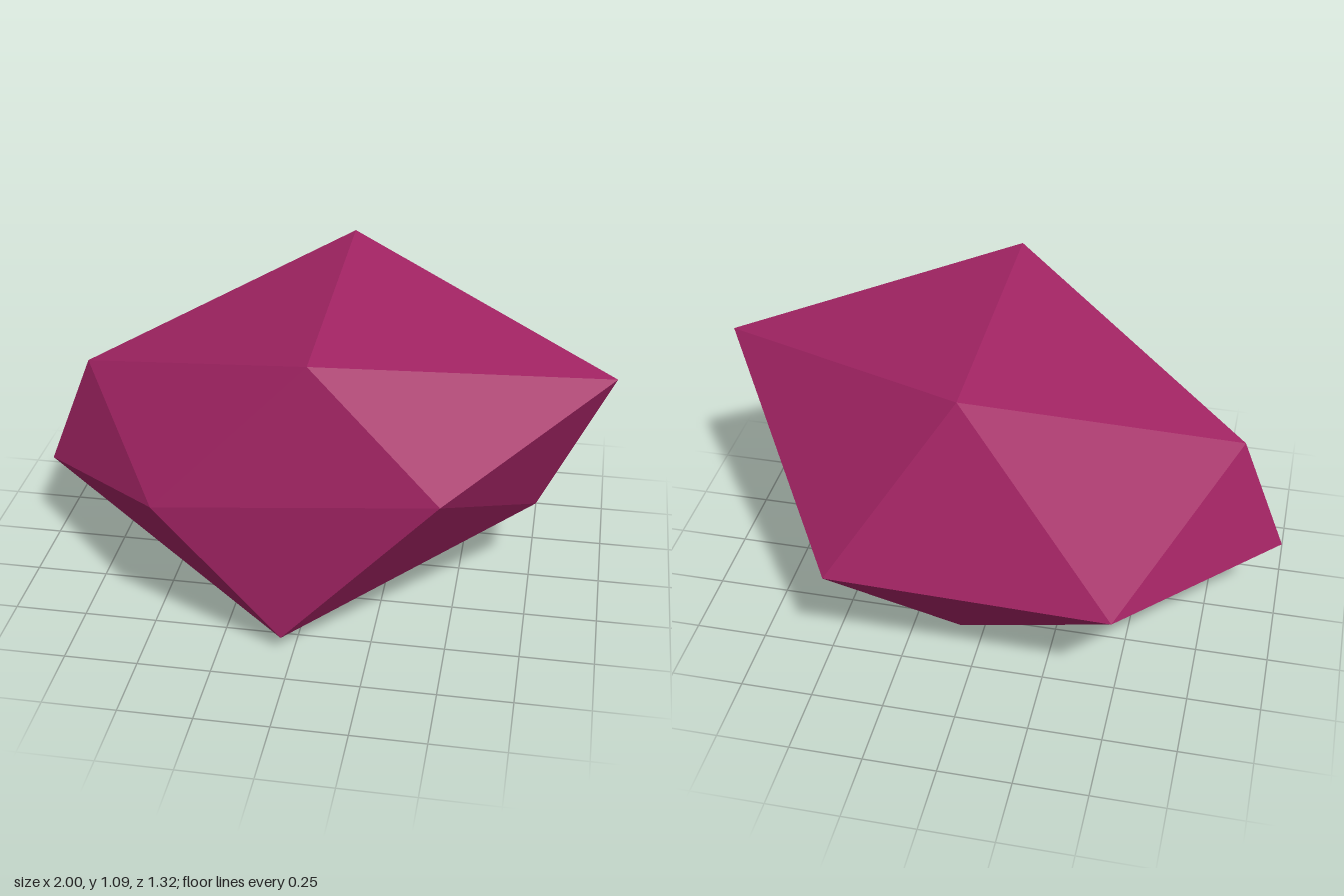
import * as THREE from 'three';

export function createModel() {
  const group = new THREE.Group();
  group.name = 'gemstone';

  const crimson = new THREE.MeshStandardMaterial({ color: 0xa32464 });
  crimson.name = 'crimson';

  // Skewed icosahedron: a top corner, an upper ring, a lower ring and a bottom corner
  const top = [0.05, 1.07, 0.59];
  const upper = [
    [0.04, 1.09, -0.48], [1, 0.87, 0.12], [0.48, 0.65, 0.66], [-0.46, 0.54, 0.63], [-0.84, 0.73, 0],
  ];
  const lower = [
    [0.46, 0.45, -0.66], [0.76, 0.33, 0.05], [-0.04, 0.06, 0.61], [-1, 0.32, 0], [-0.5, 0.43, -0.66],
  ];
  const bottom = [0.085, 0, -0.3];

  // Four facets per step around the rings, each with its own corners for flat shading
  const positions = [];
  const facet = (a, b, c) => positions.push(...a, ...b, ...c);
  for (let i = 0; i < 5; i++) {
    const j = (i + 1) % 5;
    facet(top, upper[j], upper[i]);
    facet(upper[i], upper[j], lower[i]);
    facet(lower[i], upper[j], lower[j]);
    facet(bottom, lower[i], lower[j]);
  }

  const geometry = new THREE.BufferGeometry();
  geometry.setAttribute('position', new THREE.Float32BufferAttribute(positions, 3));
  geometry.computeVertexNormals();

  const stone = new THREE.Mesh(geometry, crimson);
  stone.name = 'facetedStone';
  group.add(stone);
  return group;
}
